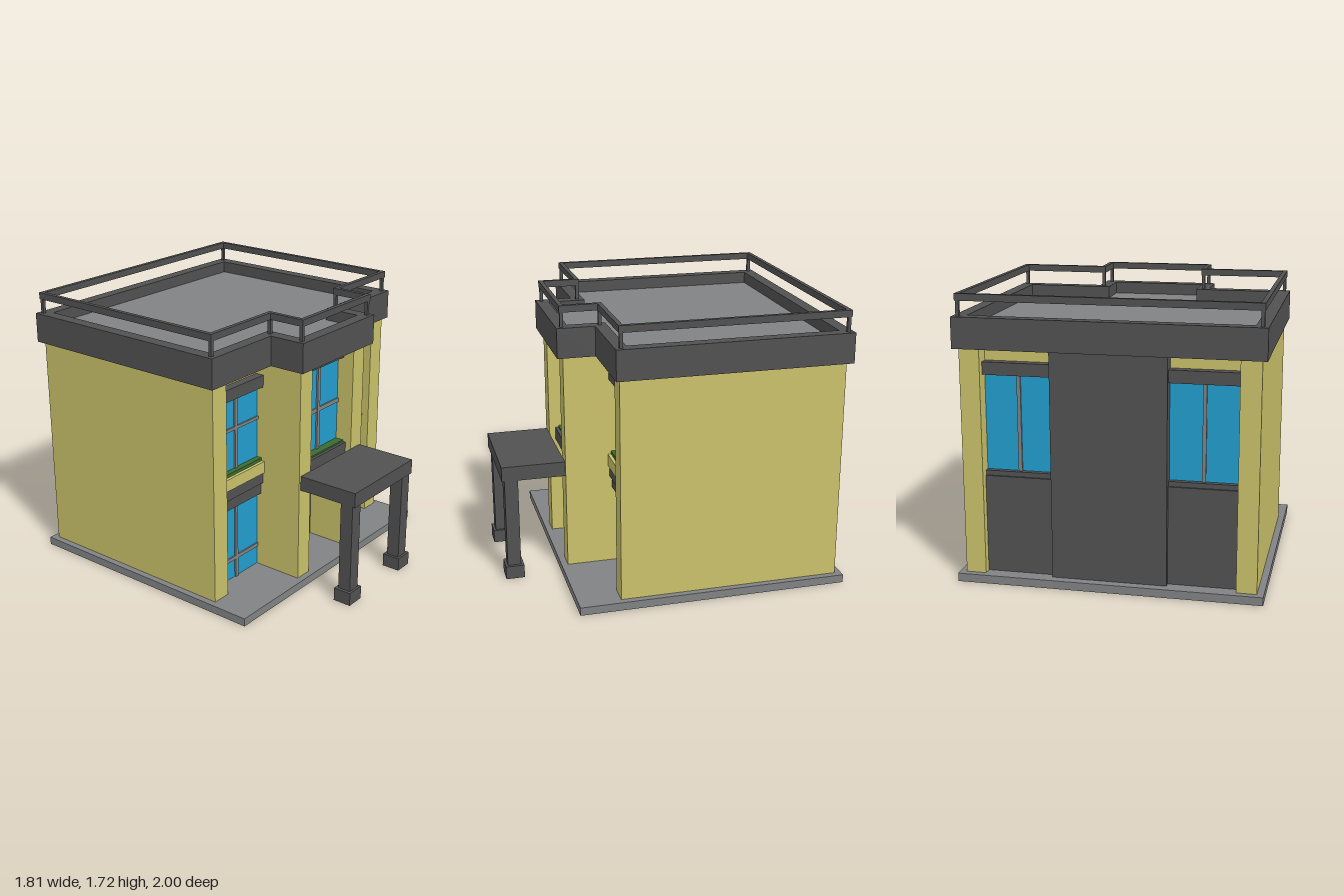
import * as THREE from 'three';

const mat = (name, color) => {
  const m = new THREE.MeshStandardMaterial({ color });
  m.name = name;
  return m;
};

export function createModel() {
  const yellow = mat('yellow wall', 0xc9c16a);
  const dark = mat('dark grey trim', 0x515151);
  const grey = mat('light grey', 0x818283);
  const blue = mat('blue glass', 0x229dcd);
  const pale = mat('pale door glass', 0x70b0cc);
  const green = mat('green planting', 0x3b6b30);
  const black = mat('black handle', 0x2e2e2e);

  const model = new THREE.Group();
  model.name = 'building';

  // Box given by its limits on each axis
  const box = (name, m, x0, x1, y0, y1, z0, z1) => {
    const mesh = new THREE.Mesh(new THREE.BoxGeometry(x1 - x0, y1 - y0, z1 - z0), m);
    mesh.position.set((x0 + x1) / 2, (y0 + y1) / 2, (z0 + z1) / 2);
    mesh.name = name;
    model.add(mesh);
  };
  // The same box on both sides of x = 0
  const pair = (name, m, x0, x1, ...rest) => {
    box(name + 'Left', m, x0, x1, ...rest);
    box(name + 'Right', m, -x1, -x0, ...rest);
  };

  // T-shaped roof outline, drawn in from the outer edge by an inset
  const outline = (inset) => {
    const x = 0.895 - inset, c = 0.368 - inset;
    const back = -0.995 + inset, side = 0.42 - inset, front = 0.65 - inset;
    return [[-x, back], [-x, side], [-c, side], [-c, front], [c, front], [c, side], [x, side], [x, back]]
      .map(([px, pz]) => new THREE.Vector2(px, -pz));
  };
  const slab = (name, m, y0, y1, inset, holeInset) => {
    const shape = new THREE.Shape(outline(inset));
    if (holeInset) shape.holes.push(new THREE.Path(outline(holeInset)));
    const geo = new THREE.ExtrudeGeometry(shape, { depth: y1 - y0, bevelEnabled: false });
    geo.rotateX(-Math.PI / 2);
    geo.translate(0, y0, 0);
    const mesh = new THREE.Mesh(geo, m);
    mesh.name = name;
    model.add(mesh);
  };

  // Ground slab and yellow walls
  box('groundSlab', grey, -0.905, 0.905, 0, 0.05, -1, 0.65);
  pair('sideWall', yellow, 0.745, 0.865, 0.05, 1.405, -0.96, 0.395);
  pair('entrancePillar', yellow, 0.215, 0.33, 0.05, 1.405, 0.25, 0.61);
  box('core', yellow, -0.75, 0.75, 0.05, 1.405, -0.86, 0.28);

  // Roof: parapet ring, deck, railing on corner posts
  slab('parapet', dark, 1.405, 1.588, 0, 0.075);
  slab('soffit', dark, 1.406, 1.42, 0.07);
  slab('roofDeck', grey, 1.42, 1.515, 0.07);
  slab('railing', dark, 1.677, 1.718, 0.02, 0.047);
  for (const [x, z] of [[0.861, -0.961], [0.861, 0.386], [0.334, 0.386], [0.334, 0.616]])
    pair('railPost', dark, x - 0.01, x + 0.01, 1.58, 1.68, z - 0.01, z + 0.01);

  // Front side bays: lower window, stepped lintel, planter, upper window
  pair('lowerGlass', blue, 0.33, 0.745, 0.05, 0.55, 0.28, 0.289);
  pair('lowerMullion', grey, 0.53, 0.552, 0.05, 0.55, 0.285, 0.3);
  pair('lowerTransom', grey, 0.33, 0.745, 0.172, 0.197, 0.285, 0.298);
  pair('lowerLintel', dark, 0.33, 0.745, 0.545, 0.62, 0.27, 0.32);
  pair('upperStepLintel', dark, 0.33, 0.745, 0.62, 0.69, 0.27, 0.335);
  pair('planter', yellow, 0.33, 0.745, 0.69, 0.765, 0.27, 0.345);
  pair('planting', green, 0.33, 0.745, 0.765, 0.785, 0.27, 0.325);
  pair('upperGlass', blue, 0.33, 0.745, 0.785, 1.25, 0.28, 0.289);
  pair('upperMullion', grey, 0.53, 0.552, 0.785, 1.25, 0.285, 0.3);
  pair('upperTransom', grey, 0.33, 0.745, 1.032, 1.052, 0.285, 0.298);
  pair('windowHead', dark, 0.33, 0.745, 1.245, 1.32, 0.27, 0.335);

  // Central upper window over the entrance
  box('centreBlock', dark, -0.215, 0.215, 0.69, 1.405, 0.28, 0.49);
  box('centreGlass', blue, -0.215, 0.215, 0.785, 1.33, 0.49, 0.498);
  box('centreMullion', grey, -0.013, 0.013, 0.785, 1.33, 0.49, 0.51);
  box('centreTransom', grey, -0.215, 0.215, 1.03, 1.057, 0.49, 0.507);
  box('centreHead', dark, -0.215, 0.215, 1.33, 1.405, 0.48, 0.54);
  box('centreLedge', dark, -0.215, 0.215, 0.69, 0.773, 0.48, 0.57);
  box('centrePlanting', green, -0.215, 0.215, 0.773, 0.783, 0.48, 0.55);

  // Entrance wall and double door
  box('entranceWall', dark, -0.215, 0.215, 0.05, 0.7, 0.27, 0.31);
  box('doorFrame', grey, -0.188, 0.188, 0.05, 0.533, 0.3, 0.325);
  pair('doorPaneRim', dark, 0.018, 0.162, 0.083, 0.507, 0.32, 0.331);
  pair('doorPaneBorder', grey, 0.026, 0.154, 0.091, 0.499, 0.326, 0.333);
  pair('doorGlass', pale, 0.033, 0.147, 0.098, 0.492, 0.327, 0.335);
  pair('doorHandle', black, 0.004, 0.016, 0.23, 0.35, 0.32, 0.352);

  // Entrance canopy on two columns
  box('canopy', dark, -0.315, 0.315, 0.643, 0.735, 0.61, 1);
  pair('canopyColumn', dark, 0.232, 0.315, 0.08, 0.645, 0.902, 0.985);
  pair('columnFoot', dark, 0.215, 0.335, 0, 0.083, 0.885, 1);

  // Back: central panel, windows above dark lower panels
  box('backPanel', dark, -0.34, 0.34, 0.05, 1.406, -0.945, -0.85);
  pair('backGlass', blue, 0.34, 0.745, 0.66, 1.25, -0.869, -0.86);
  pair('backMullion', grey, 0.53, 0.552, 0.66, 1.25, -0.88, -0.865);
  pair('backHead', dark, 0.34, 0.745, 1.245, 1.32, -0.915, -0.85);
  pair('backLowerPanel', dark, 0.34, 0.745, 0.05, 0.64, -0.91, -0.85);
  pair('backSill', dark, 0.34, 0.745, 0.64, 0.67, -0.9, -0.85);

  return model;
}
